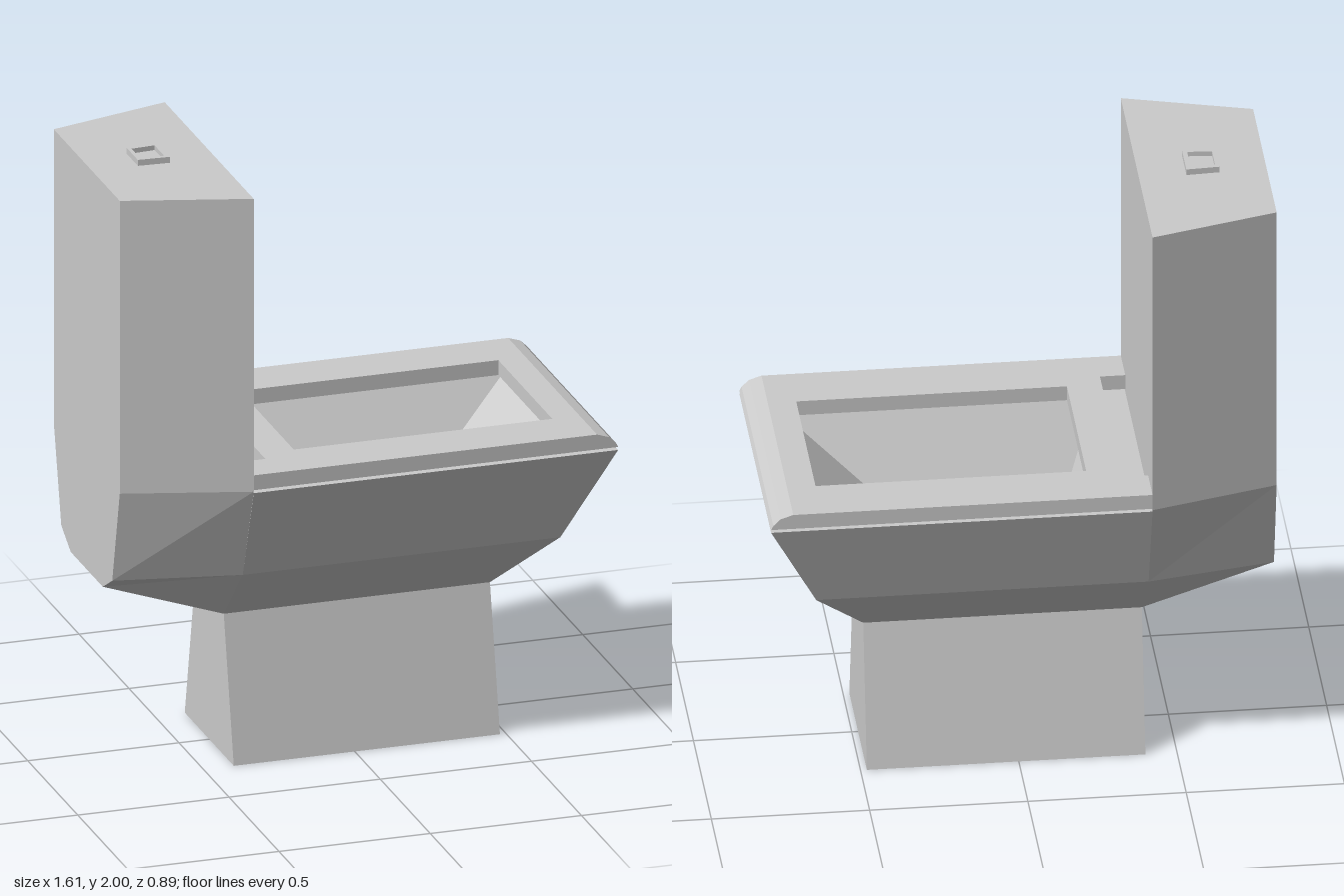
import * as THREE from 'three';

const material = new THREE.MeshStandardMaterial({ color: 0xcccccc, flatShading: true });

// Four-cornered ring: back edge at x0, front edge at x1, with half widths and heights for each
function ring(x0, x1, halfBack, halfFront, yBack, yFront = yBack, zShift = 0) {
  return [
    [x0, yBack, zShift + halfBack], [x1, yFront, zShift + halfFront],
    [x1, yFront, zShift - halfFront], [x0, yBack, zShift - halfBack],
  ];
}

// Skin through successive rings, closed at both ends
function loft(rings) {
  const pos = [];
  const quad = (a, b, c, d) => pos.push(...a, ...b, ...c, ...a, ...c, ...d);
  for (let r = 0; r < rings.length - 1; r++) {
    for (let i = 0; i < 4; i++) {
      const j = (i + 1) % 4;
      quad(rings[r][i], rings[r][j], rings[r + 1][j], rings[r + 1][i]);
    }
  }
  const [a, b, c, d] = rings[0];
  quad(d, c, b, a);
  quad(...rings[rings.length - 1]);
  const geometry = new THREE.BufferGeometry();
  geometry.setAttribute('position', new THREE.Float32BufferAttribute(pos, 3));
  geometry.computeVertexNormals();
  return geometry;
}

function polygon(points, Type = THREE.Shape) {
  return new Type(points.map(([x, y]) => new THREE.Vector2(x, y)));
}

export function createModel() {
  const model = new THREE.Group();
  model.name = 'toilet';
  const add = (name, geometry) => {
    const mesh = new THREE.Mesh(geometry, material);
    mesh.name = name;
    model.add(mesh);
    return mesh;
  };

  // Tapered foot
  add('pedestal', loft([
    ring(-0.4, 0.48, 0.245, 0.245, 0),
    ring(-0.4, 0.48, 0.145, 0.145, 0.475),
  ]));

  // Bowl: up the outside, over the rim and down the basin
  add('bowl', loft([
    ring(-0.4, 0.48, 0.145, 0.145, 0.475),
    ring(-0.4, 0.65, 0.335, 0.335, 0.675),
    ring(-0.4, 0.805, 0.445, 0.445, 0.99),
    ring(-0.315, 0.71, 0.365, 0.365, 0.99),
    ring(-0.165, 0.27, 0.147, 0.147, 0.615, 0.615, 0.018),
    ring(-0.115, 0.225, 0.085, 0.085, 0.52, 0.52, 0.02),
  ]));

  // Tank, narrowing towards the back and tapering underneath
  add('tank', loft([
    ring(-0.805, -0.4, 0.16, 0.145, 0.62, 0.475),
    ring(-0.805, -0.4, 0.255, 0.335, 0.675),
    ring(-0.805, -0.4, 0.33, 0.445, 0.995),
    ring(-0.805, -0.4, 0.33, 0.445, 1.98),
  ]));

  // Flush button with a sunken centre
  add('flushButton', loft([
    ring(-0.655, -0.55, 0.057, 0.063, 1.98),
    ring(-0.655, -0.55, 0.057, 0.063, 2),
    ring(-0.643, -0.565, 0.042, 0.048, 2),
    ring(-0.643, -0.565, 0.042, 0.048, 1.984),
  ]));

  // Seat with its opening and the hinge notch at the back
  const seat = polygon([
    [-0.4, -0.445], [0.735, -0.445], [0.735, 0.445], [-0.4, 0.445],
    [-0.4, 0.32], [-0.32, 0.32], [-0.32, -0.32], [-0.4, -0.32],
  ]);
  seat.holes.push(polygon([[-0.21, -0.27], [-0.21, 0.27], [0.645, 0.27], [0.645, -0.27]], THREE.Path));
  add('seat', new THREE.ExtrudeGeometry(seat, { depth: 0.05, bevelEnabled: false })
    .rotateX(-Math.PI / 2).translate(0, 1, 0));

  // Rounded front edge of the seat
  const lip = polygon([[0.735, 1], [0.805, 1], [0.798, 1.014], [0.775, 1.037], [0.735, 1.05]]);
  add('seatFrontEdge', new THREE.ExtrudeGeometry(lip, { depth: 0.89, bevelEnabled: false })
    .translate(0, 0, -0.445));

  return model;
}
